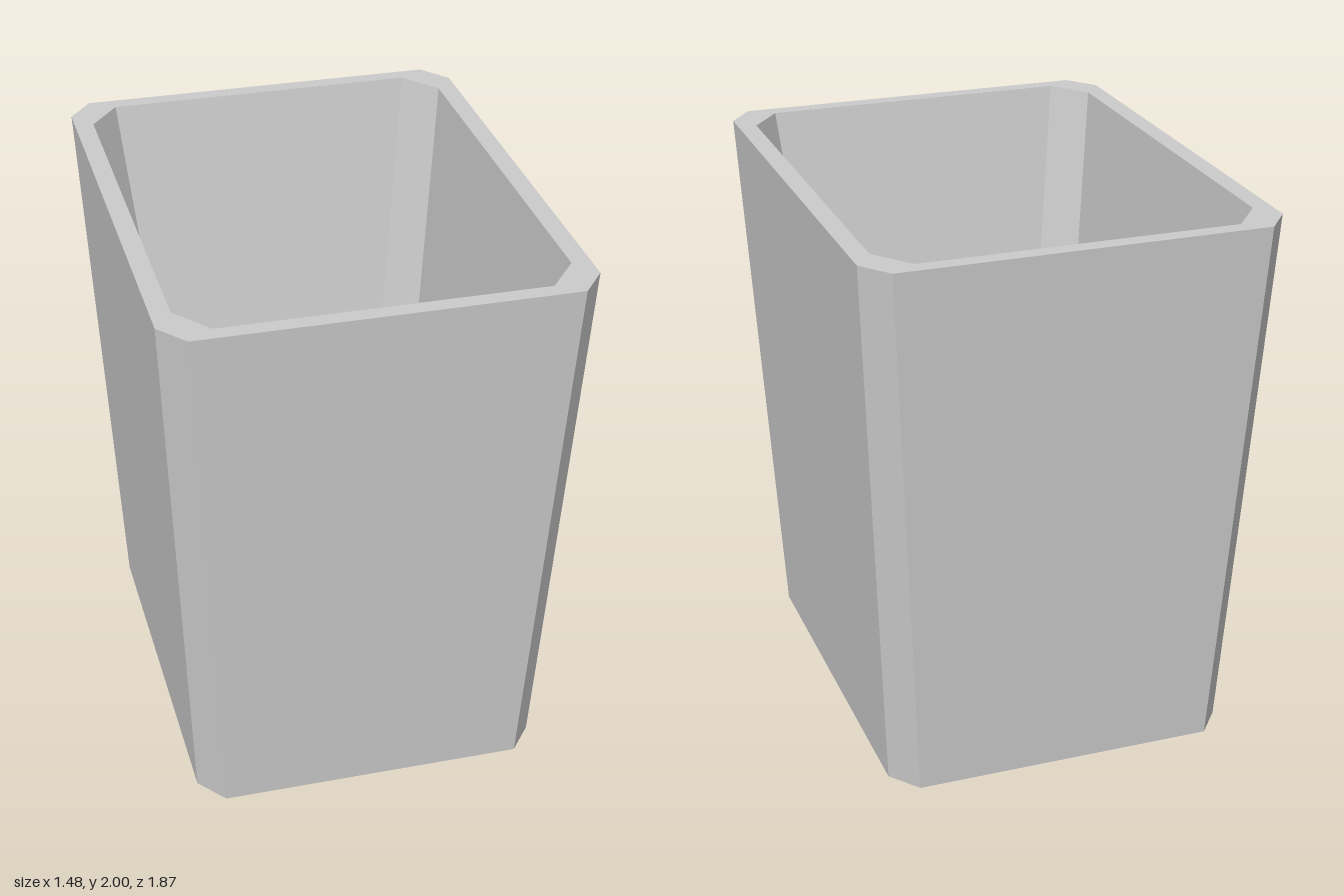
import * as THREE from 'three';

// Chamfered rectangle, counter-clockwise from above: half sizes X, Z; corners cut back to cx, cz
function ring(y, X, Z, cx, cz) {
  return [[X, cz], [X, -cz], [cx, -Z], [-cx, -Z], [-X, -cz], [-X, cz], [-cx, Z], [cx, Z]]
    .map(([x, z]) => [x, y, z]);
}

// Joins successive rings with quads and caps both ends
function loft(rings) {
  const n = rings[0].length;
  const index = [];
  for (let r = 0; r < rings.length - 1; r++) {
    for (let i = 0; i < n; i++) {
      const j = (i + 1) % n;
      const a = r * n + i, b = r * n + j;
      index.push(a, b, b + n, a, b + n, a + n);
    }
  }
  const last = (rings.length - 1) * n;
  for (let i = 1; i < n - 1; i++) {
    index.push(0, i + 1, i);
    index.push(last, last + i, last + i + 1);
  }
  const geometry = new THREE.BufferGeometry();
  geometry.setAttribute('position', new THREE.Float32BufferAttribute(rings.flat(2), 3));
  geometry.setIndex(index);
  const faceted = geometry.toNonIndexed();
  faceted.computeVertexNormals();
  return faceted;
}

export function createModel() {
  const group = new THREE.Group();
  group.name = 'taperedBin';

  // Outer wall, rim, inner wall and floor as one closed shell
  const bin = new THREE.Mesh(
    loft([
      ring(0, 0.635, 0.805, 0.55, 0.697), // base
      ring(2, 0.738, 0.935, 0.654, 0.828), // outer rim
      ring(2, 0.67, 0.875, 0.563, 0.74), // inner rim
      ring(0.1, 0.465, 0.608, 0.36, 0.475), // inside floor
    ]),
    new THREE.MeshStandardMaterial({ color: 0xcccccc, flatShading: true })
  );
  bin.name = 'binShell';
  group.add(bin);
  return group;
}
